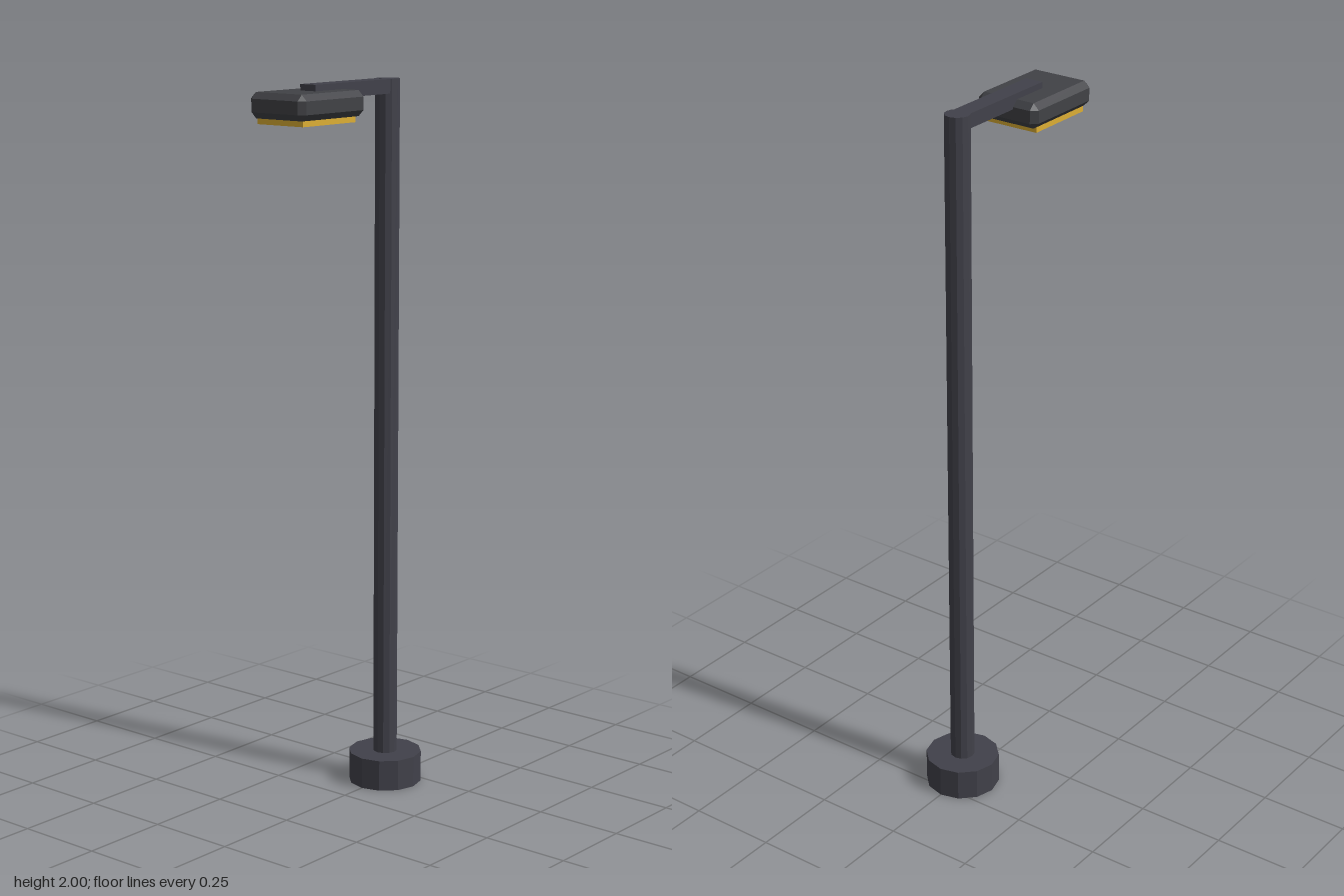
import * as THREE from 'three';
import { ConvexGeometry } from 'three/addons/geometries/ConvexGeometry.js';

const metal = new THREE.MeshStandardMaterial({ name: 'dark metal', color: 0x41414a });
const housing = new THREE.MeshStandardMaterial({ name: 'housing grey', color: 0x414246 });
const glow = new THREE.MeshStandardMaterial({ name: 'amber lens', color: 0xdcae34 });

// Box with every edge cut by the same bevel
function chamferedBox(w, h, d, bevel) {
  const points = [];
  for (const sx of [-1, 1]) for (const sy of [-1, 1]) for (const sz of [-1, 1]) {
    for (let axis = 0; axis < 3; axis++) {
      const half = [w / 2, h / 2, d / 2].map((v, i) => (i === axis ? v : v - bevel));
      points.push(new THREE.Vector3(sx * half[0], sy * half[1], sz * half[2]));
    }
  }
  return new ConvexGeometry(points);
}

// Twelve-sided upright cylinder with faceted sides
function column(radius, height) {
  const geometry = new THREE.CylinderGeometry(radius, radius, height, 12).toNonIndexed();
  geometry.computeVertexNormals();
  return geometry;
}

export function createModel() {
  const model = new THREE.Group();
  model.name = 'streetLamp';
  const add = (name, geometry, material, x, y, z) => {
    const mesh = new THREE.Mesh(geometry, material);
    mesh.name = name;
    mesh.position.set(x, y, z);
    model.add(mesh);
  };

  const poleZ = -0.18;
  add('base', column(0.104, 0.088), metal, 0, 0.044, poleZ);
  add('pole', column(0.034, 2), metal, 0, 1, poleZ);

  // Arm reaches forward from the pole and rests in the top of the lamp head
  add('arm', new THREE.BoxGeometry(0.052, 0.039, 0.33), metal, 0, 1.9802, -0.015);

  // Lamp head with its glowing panel underneath
  add('lampHead', chamferedBox(0.19, 0.068, 0.26, 0.0165), housing, 0, 1.949, 0.151);
  add('lens', new THREE.BoxGeometry(0.157, 0.018, 0.21), glow, 0, 1.909, 0.155);

  return model;
}
